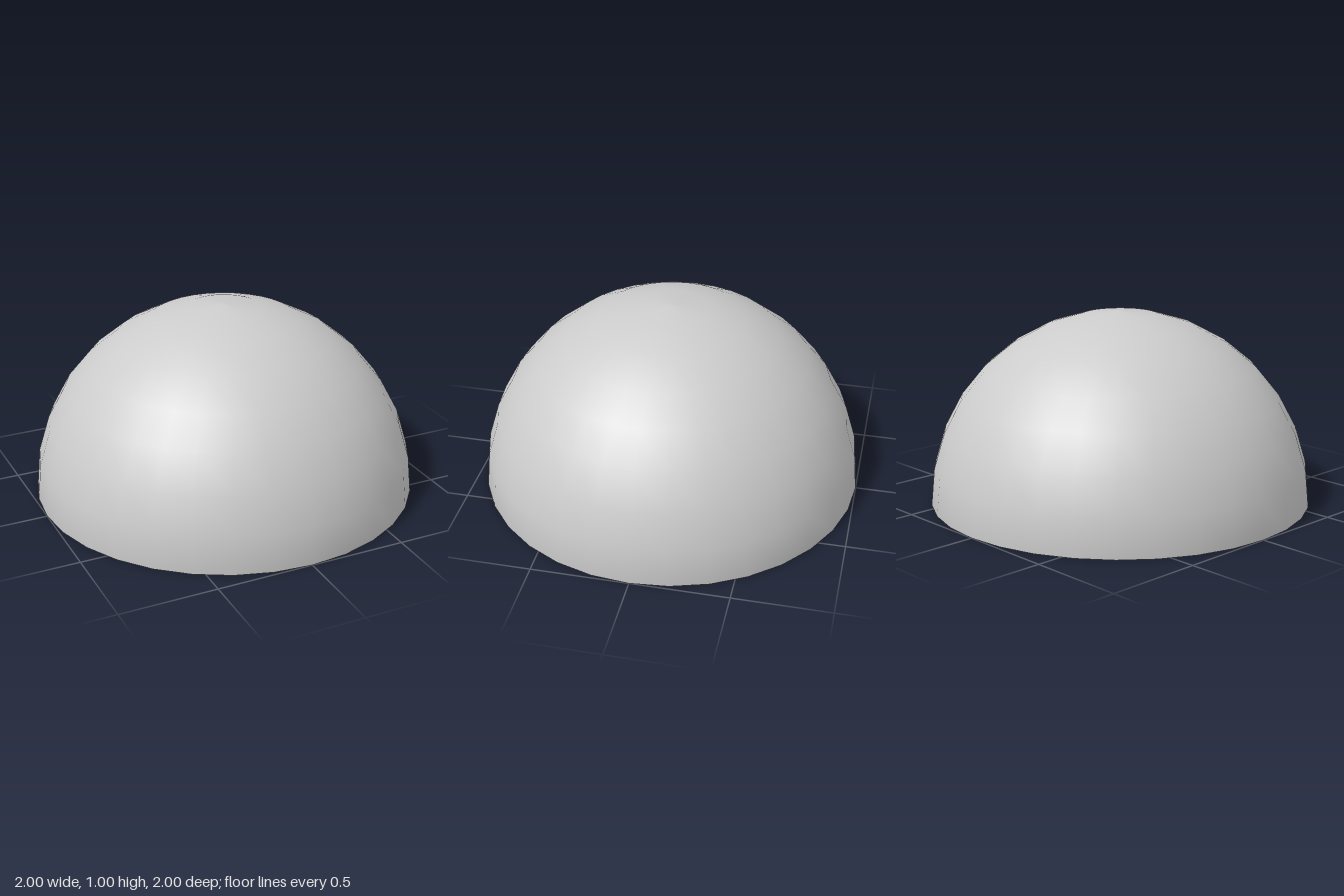
import * as THREE from 'three';

const material = new THREE.MeshStandardMaterial({ color: 0xcccccc });

function addMesh(parent, name, geometry) {
  const mesh = new THREE.Mesh(geometry, material);
  mesh.name = name;
  parent.add(mesh);
  return mesh;
}

// Quarter-circle profile from the rim (y = 0) up to the apex
function quarterArc(radius, steps) {
  const points = [];
  for (let i = 0; i <= steps; i++) {
    const a = (i / steps) * Math.PI / 2;
    points.push(new THREE.Vector2(i === steps ? 0 : radius * Math.cos(a), radius * Math.sin(a)));
  }
  return points;
}

// Flat spiral that widens by a fixed pitch every turn
class SpiralCurve extends THREE.Curve {
  constructor(start, end, pitch) {
    super();
    Object.assign(this, { start, end, pitch });
  }
  getPoint(t, target = new THREE.Vector3()) {
    const angle = THREE.MathUtils.lerp(this.start, this.end, t);
    const r = this.pitch * angle / (2 * Math.PI);
    const turned = angle + Math.PI / 4;
    return target.set(-r * Math.cos(turned), 0, -r * Math.sin(turned));
  }
}

export function createModel() {
  const model = new THREE.Group();
  model.name = 'domeWithCoil';

  // Thin hollow dome, open underneath, smooth around the rim
  const profile = [...quarterArc(0.97, 8).reverse(), ...quarterArc(1, 8)];
  addMesh(model, 'domeShell', new THREE.LatheGeometry(profile, 32));

  // Spiral coil lying in the opening
  const coil = new THREE.Group();
  coil.name = 'coil';
  coil.position.set(-0.05, 0.054, 0.005);
  model.add(coil);

  const radius = 0.054;
  const path = new SpiralCurve(Math.PI / 2, THREE.MathUtils.degToRad(1221), 0.29);
  addMesh(coil, 'coilTube', new THREE.TubeGeometry(path, 200, radius, 16));

  // Flat caps on both ends of the coil
  for (const [name, t, sign] of [['innerCap', 0, -1], ['outerCap', 1, 1]]) {
    const cap = addMesh(coil, name, new THREE.CircleGeometry(radius, 16));
    const outward = path.getTangentAt(t).multiplyScalar(sign);
    cap.position.copy(path.getPointAt(t));
    cap.quaternion.setFromUnitVectors(new THREE.Vector3(0, 0, 1), outward);
  }

  return model;
}
